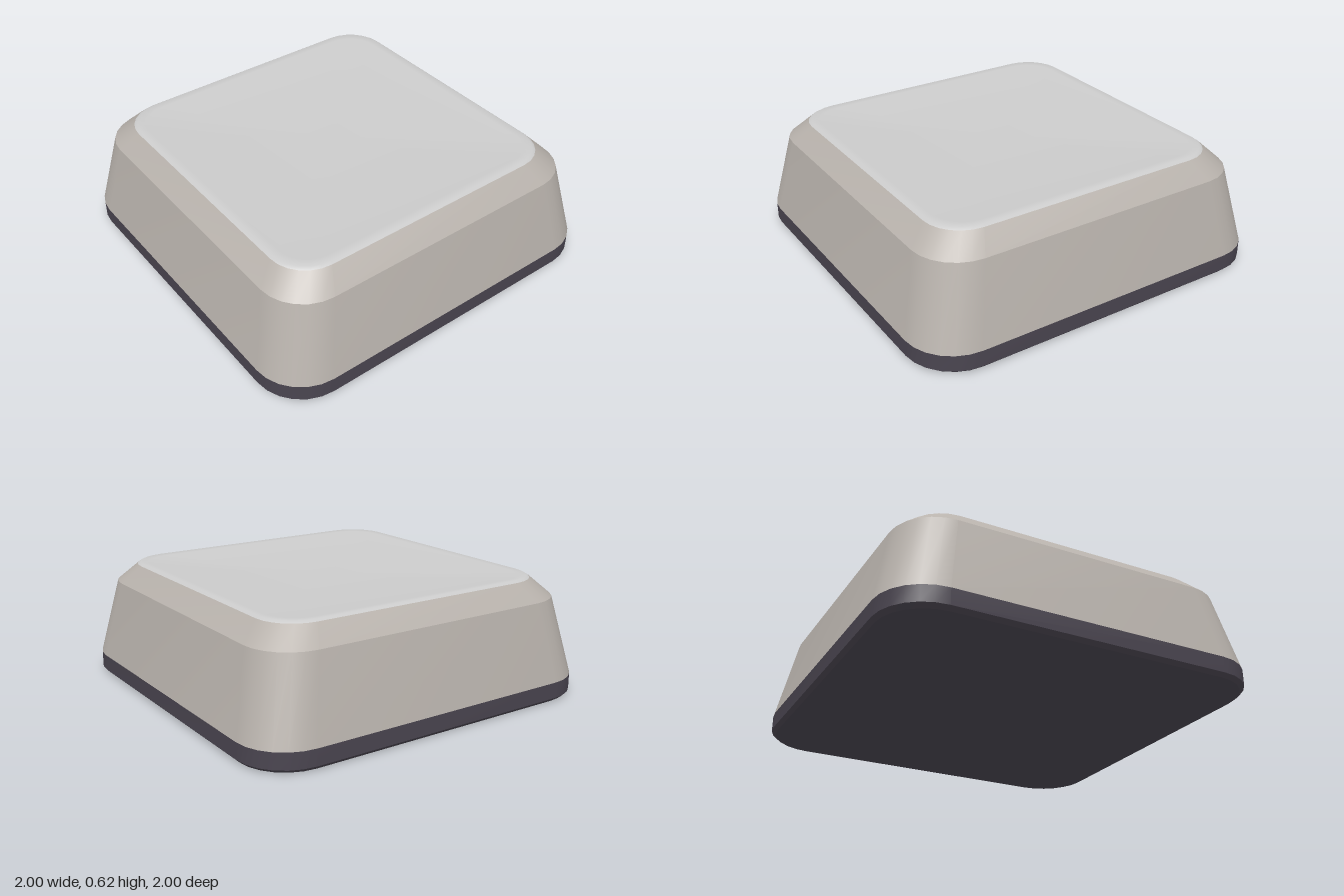
import * as THREE from 'three';
import { toCreasedNormals } from 'three/addons/utils/BufferGeometryUtils.js';

const CORNER_STEPS = 6;

// Outline of a rounded square with half-width h and corner radius r at height y
function ring([h, r, y]) {
  const points = [];
  for (let corner = 0; corner < 4; corner++) {
    const mid = (corner + 0.5) * Math.PI / 2;
    const cx = Math.sign(Math.cos(mid)) * (h - r);
    const cz = Math.sign(Math.sin(mid)) * (h - r);
    for (let i = 0; i <= CORNER_STEPS; i++) {
      const a = (corner + i / CORNER_STEPS) * Math.PI / 2;
      points.push(cx + r * Math.cos(a), y, cz + r * Math.sin(a));
    }
  }
  return points;
}

// Skin a stack of rounded-square sections; a section of half-width 0 closes the end
function loft(name, sections, color, crease) {
  const n = 4 * (CORNER_STEPS + 1);
  const index = [];
  for (let s = 0; s < sections.length - 1; s++) {
    for (let j = 0; j < n; j++) {
      const a = s * n + j, b = s * n + (j + 1) % n;
      if (sections[s][0] > 0) index.push(a, a + n, b);
      if (sections[s + 1][0] > 0) index.push(b, a + n, b + n);
    }
  }
  const geometry = new THREE.BufferGeometry();
  geometry.setAttribute('position', new THREE.Float32BufferAttribute(sections.flatMap(ring), 3));
  geometry.setIndex(index);
  const material = new THREE.MeshStandardMaterial({ color });
  const mesh = new THREE.Mesh(toCreasedNormals(geometry, crease), material);
  mesh.name = name;
  return mesh;
}

export function createModel() {
  const group = new THREE.Group();
  group.name = 'keycap';

  // Dark base with a small chamfer underneath
  group.add(loft('base', [
    [0, 0, 0], [0.98, 0.25, 0], [1, 0.26, 0.02], [1, 0.26, 0.105],
  ], 0x4a4550, 0.5));

  // Tapered sides with a bevelled shoulder
  group.add(loft('sides', [
    [1, 0.26, 0.105], [0.91, 0.24, 0.52], [0.815, 0.2, 0.615],
  ], 0xb8b2ac, 0.45));

  // Soft rim rolling into a shallow dished top
  const top = [[0.815, 0.2, 0.615], [0.8, 0.19, 0.625], [0.76, 0.17, 0.622]];
  for (const t of [0.8, 0.6, 0.4, 0.2, 0]) {
    top.push([0.76 * t, 0.17 * t, 0.592 + 0.03 * t * t]);
  }
  group.add(loft('dishedTop', top, 0xc8c8c5, 0.8));

  return group;
}
